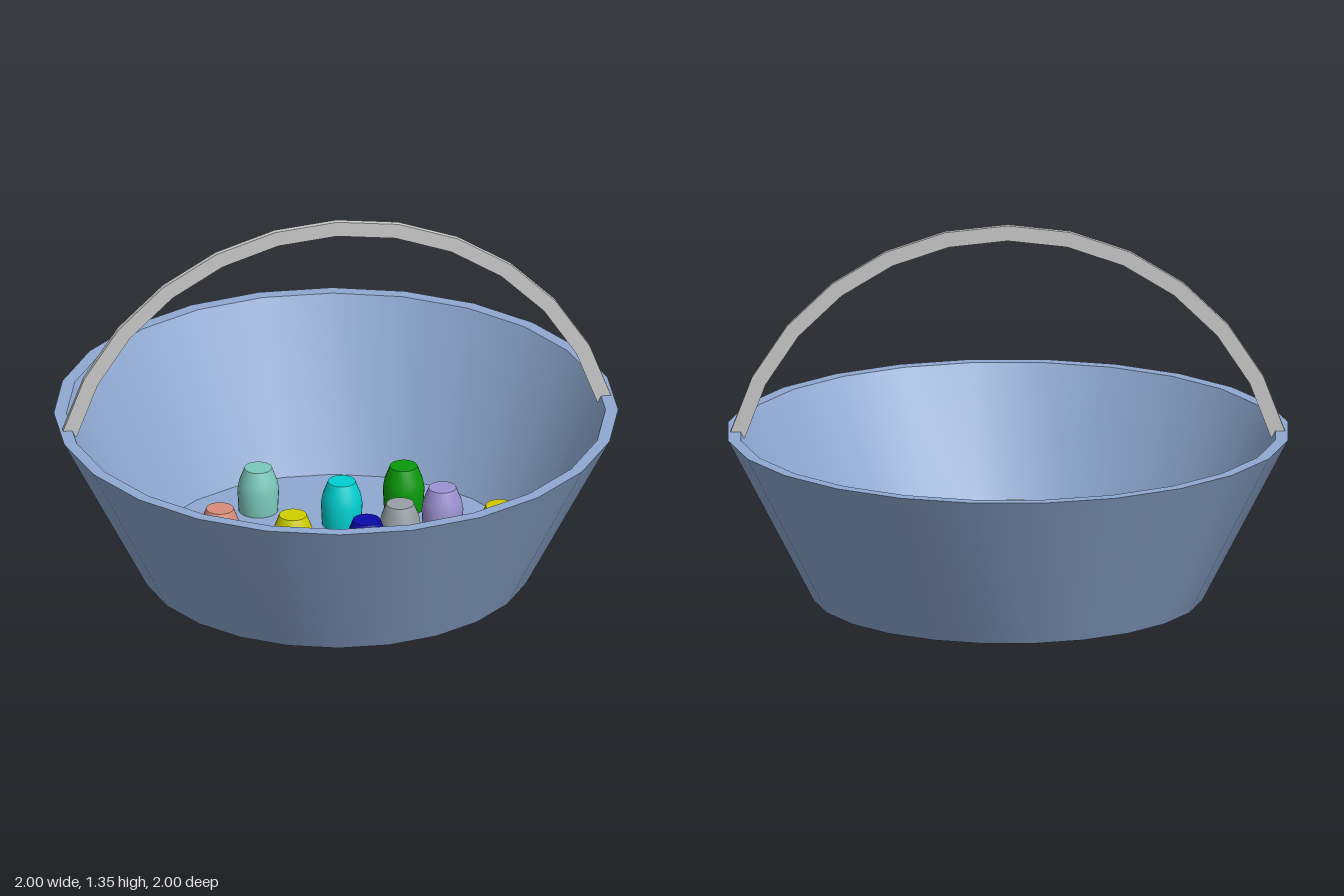
import * as THREE from 'three';
import { toCreasedNormals } from 'three/addons/utils/BufferGeometryUtils.js';

const paint = (color) => new THREE.MeshStandardMaterial({ color });

// Turned solid: smooth around, sharp at profile corners
function turned(profile, sides) {
  const points = profile.map(([r, y]) => new THREE.Vector2(r, y));
  return toCreasedNormals(new THREE.LatheGeometry(points, sides), Math.PI / 6);
}

// Flat curved strap, made of straight steps between two arcs
function strap(inner, outer, halfAngle, steps, depth) {
  const points = [];
  const add = (r, i) => {
    const a = -halfAngle + (2 * halfAngle * i) / steps;
    points.push(new THREE.Vector2(r * Math.sin(a), r * Math.cos(a)));
  };
  for (let i = 0; i <= steps; i++) add(outer, i);
  for (let i = steps; i >= 0; i--) add(inner, i);
  const geometry = new THREE.ExtrudeGeometry(new THREE.Shape(points), { depth, bevelEnabled: false });
  return geometry.translate(0, 0, -depth / 2);
}

// x, z and color of each small pot on the floor
const POTS = [
  [-0.155, -0.465, 0x7ccabc], [0.345, -0.34, 0x0a9a0a], [0.10, -0.28, 0x00d0d0],
  [-0.52, -0.14, 0xdc0000], [-0.375, -0.185, 0xd88c7a], [-0.365, -0.025, 0x00cca4],
  [-0.14, -0.065, 0xd0d000], [0.25, -0.05, 0x98a0a6], [0.43, -0.135, 0x9c92d2],
  [0.10, 0.045, 0x0a0aac], [0.585, 0.06, 0xd0c800], [-0.56, 0.185, 0xb4cc60],
  [-0.23, 0.165, 0xa060c0], [0.305, 0.21, 0x00d200], [0.03, 0.32, 0xca90c6],
  [0.475, 0.33, 0x0a0aa0], [-0.345, 0.465, 0x50a050], [-0.105, 0.59, 0xb4cccc],
  [0.08, 0.535, 0xd8b8b8], [0.275, 0.525, 0xc48484],
];

export function createModel() {
  const model = new THREE.Group();
  model.name = 'basketWithPots';

  // Flared bowl with a flat rim and a thin floor
  const bowl = new THREE.Mesh(
    turned([[0, 0], [0.695, 0], [1, 0.595], [0.955, 0.595], [0.69, 0.01], [0, 0.01]], 24),
    paint(0x8fa9d2)
  );
  bowl.name = 'bowl';
  model.add(bowl);

  // Arched handle, turned slightly about the vertical
  const handle = new THREE.Mesh(
    strap(0.963, 1.018, THREE.MathUtils.degToRad(75.5), 12, 0.02),
    paint(0xcccccc)
  );
  handle.name = 'handle';
  handle.position.set(0, 0.33, 0.008);
  handle.rotation.y = -THREE.MathUtils.degToRad(7.2);
  model.add(handle);

  // Small tapered pots
  const potShape = turned(
    [[0, 0], [0.07, 0], [0.074, 0.08], [0.068, 0.115], [0.049, 0.165], [0, 0.165]], 24
  );
  const pots = new THREE.Group();
  pots.name = 'pots';
  POTS.forEach(([x, z, color], i) => {
    const pot = new THREE.Mesh(potShape, paint(color));
    pot.name = `pot${i + 1}`;
    pot.position.set(x, 0.01, z);
    pots.add(pot);
  });
  model.add(pots);

  return model;
}
